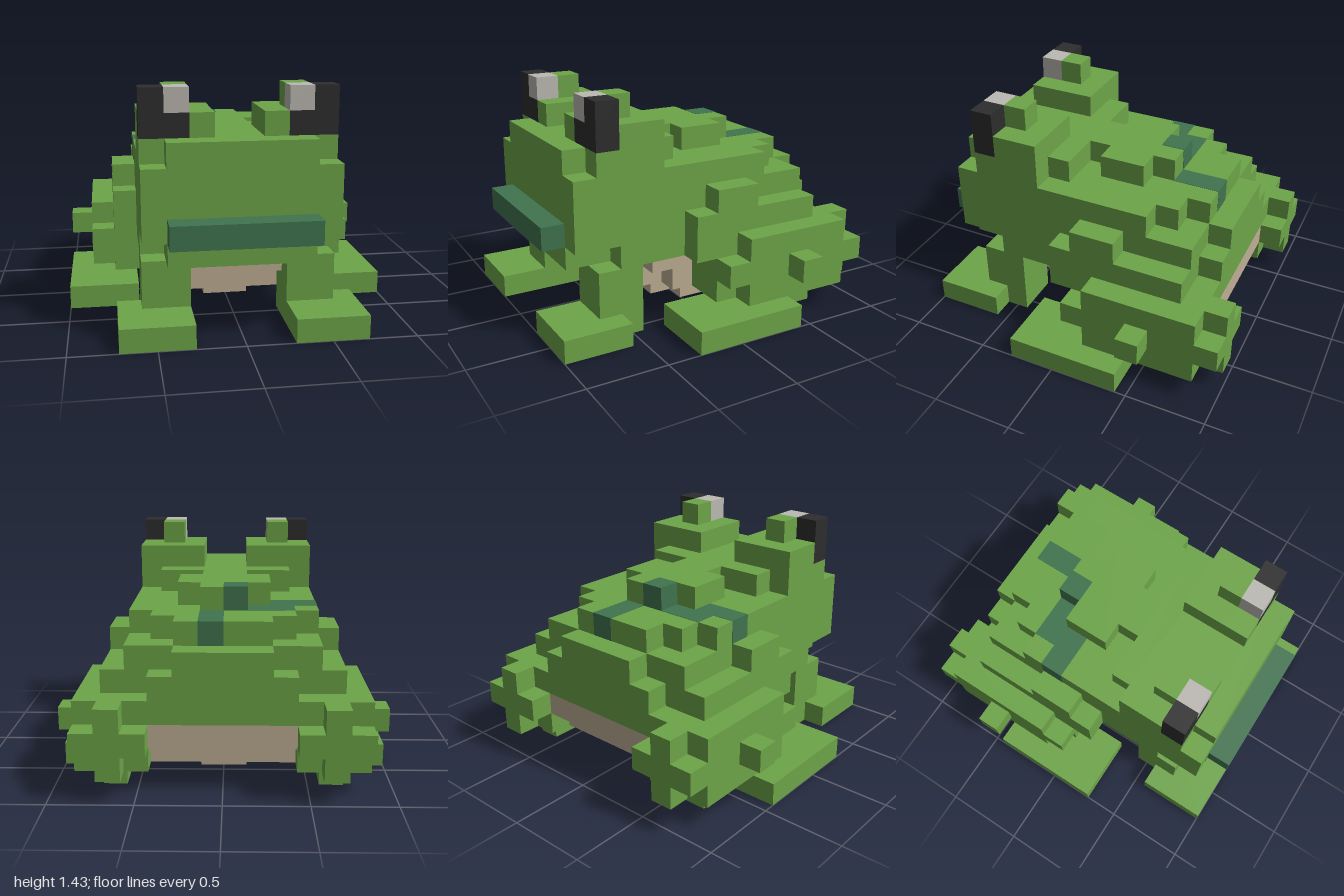
import * as THREE from 'three';
import { mergeGeometries } from 'three/addons/utils/BufferGeometryUtils.js';

const U = 1 / 7; // one block

function material(name, color) {
  const m = new THREE.MeshStandardMaterial({ color });
  m.name = name;
  return m;
}

// Box given by block ranges: x0, x1, y0, y1, z0, z1
function block([x0, x1, y0, y1, z0, z1], grow = 0) {
  const g = new THREE.BoxGeometry((x1 - x0) * U + grow, (y1 - y0) * U + grow, (z1 - z0) * U + grow);
  return g.translate((x0 + x1) * U / 2, (y0 + y1) * U / 2, (z0 + z1) * U / 2);
}

function part(name, mat, blocks, grow = 0) {
  const mesh = new THREE.Mesh(mergeGeometries(blocks.map((b) => block(b, grow))), mat);
  mesh.name = name;
  return mesh;
}

// Symmetric block from its half width
const sym = (w, y0, y1, z0, z1) => [-w, w, y0, y1, z0, z1];
const mirror = ([x0, x1, ...rest]) => [-x1, -x0, ...rest];

export function createModel() {
  const green = material('skin green', 0x6da548);
  const teal = material('dark teal green', 0x40744f);
  const tan = material('belly tan', 0xbfae94);
  const black = material('eye black', 0x2d2d2d);
  const grey = material('eye grey', 0xbcb9b3);
  const model = new THREE.Group();
  model.name = 'frog';

  // Head with clipped upper and lower corners
  model.add(part('head', green, [
    sym(3, 3, 4, 4, 6), sym(4, 4, 7, 2, 6), sym(4, 7, 8, 2, 5), sym(3, 7, 8, 5, 6),
  ]));
  model.add(part('mouth', teal, [sym(3, 4, 5, 6, 7)]));

  // Body, layer by layer
  model.add(part('body', green, [
    sym(4, 3, 4, -5, 4), sym(3, 3, 5, -6, -5),
    sym(5, 4, 5, -5, 1), sym(4, 4, 5, 1, 2),
    sym(4, 5, 6, -5, 2), sym(2, 5, 6, -6, -5),
    sym(4, 6, 7, -3, 2), sym(3, 6, 7, -4, -3), sym(2, 6, 7, -5, -4),
  ]));
  model.add(part('backRidge', green, [
    sym(3, 7, 8, 1, 2), sym(1, 7, 8, 0, 1), sym(2, 7, 8, -2, 0), sym(1, 7, 8, -3, -2),
  ]));
  model.add(part('backSpots', teal, [
    [-4, -2, 6, 7, -2, -1], [-3, -1, 6, 7, -3, -2],
    [-1, 0, 7, 8, -3, -2], [0, 1, 6, 7, -5, -3],
  ], 0.004));

  // Belly with a rounded bump underneath
  model.add(part('belly', tan, [
    sym(3, 2, 3, -6, 2), sym(2, 2, 3, 2, 4),
    sym(3, 1, 2, -5, 1), sym(2, 1, 2, 1, 3),
    sym(2, 0, 1, -2, 0), sym(1, 0, 1, -3, 1),
  ]));

  // Paired parts
  const pairs = [
    ['FrontLeg', green, [[2, 4, 1, 3, 3, 5]]],
    ['FrontFoot', green, [[2, 4, 0, 1, 3, 4], [2, 5, 0, 1, 4, 7]]],
    ['Thigh', green, [
      [3, 5, 1, 3, -6, 0], [3, 5, 3, 4, -6, 1],
      [5, 6, 1, 2, -6, -1], [5, 6, 2, 3, -6, 0], [5, 6, 3, 4, -6, -1],
      [4, 5, 1, 4, -7, -6], [3, 6, 2, 3, -7, -6], [6, 7, 2, 3, -4, -3],
    ]],
    ['Hip', green, [[4, 5, 5, 6, -2, 0]]],
    ['HindFoot', green, [[4, 7, 0, 1, -3, 2], [4, 5, 0, 1, -5, -3]]],
    ['EyeMound', green, [[1, 4, 8, 9, 2, 4], [1, 2, 8, 9, 4, 5], [2, 3, 9, 10, 3, 4]]],
    ['EyePupil', black, [[2, 4, 8, 9, 4, 5], [3, 4, 9, 10, 4, 5]]],
    ['EyeGlint', grey, [[2, 3, 9, 10, 4, 5]]],
  ];
  for (const [name, mat, blocks] of pairs) {
    model.add(part('left' + name, mat, blocks));
    model.add(part('right' + name, mat, blocks.map(mirror)));
  }
  return model;
}
